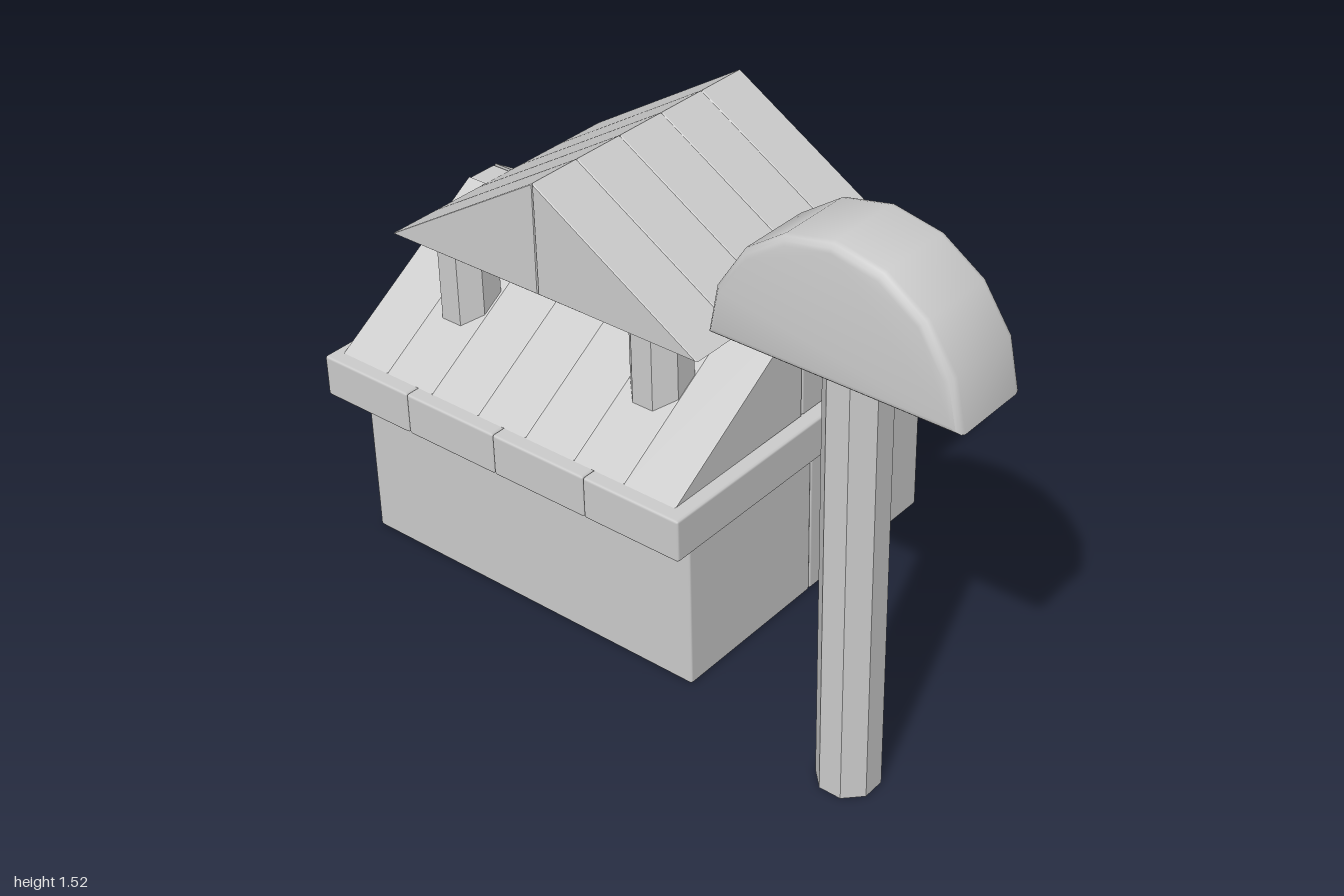
import * as THREE from 'three';
import { toCreasedNormals } from 'three/addons/utils/BufferGeometryUtils.js';
import { RoundedBoxGeometry } from 'three/addons/geometries/RoundedBoxGeometry.js';

const grey = new THREE.MeshStandardMaterial({ color: 0xcccccc });

function add(parent, name, geometry, x, y, z, turn = 0) {
  const mesh = new THREE.Mesh(geometry, grey);
  mesh.name = name;
  mesh.position.set(x, y, z);
  mesh.rotation.y = turn;
  parent.add(mesh);
  return mesh;
}

// Box given by its limits on each axis, with slightly softened edges
function block(parent, name, [x0, x1], [y0, y1], [z0, z1]) {
  const geometry = new RoundedBoxGeometry(x1 - x0, y1 - y0, z1 - z0, 1, 0.007);
  return add(parent, name, geometry, (x0 + x1) / 2, (y0 + y1) / 2, (z0 + z1) / 2);
}

// Extruded outline, centred on z, whose bevel stays inside the outline
function bevelled(points, depth, bevel, segments, crease) {
  const shape = new THREE.Shape(points.map(([x, y]) => new THREE.Vector2(x, y)));
  const geometry = new THREE.ExtrudeGeometry(shape, {
    depth: depth - 2 * bevel, bevelThickness: bevel, bevelSize: bevel,
    bevelOffset: -bevel, bevelSegments: segments,
  });
  geometry.translate(0, 0, bevel - depth / 2);
  return toCreasedNormals(geometry, crease);
}

// Roof plank: a triangular prism falling from the ridge towards +x
const wedge = (run, height, width) =>
  bevelled([[0, 0], [run, 0], [0, height]], width, 0.003, 1, 0.3);

// Upright octagonal column with flat sides facing the axes
function column(parent, name, width, x, y0, y1, z) {
  const radius = width / 2 / Math.cos(Math.PI / 8);
  const geometry = new THREE.CylinderGeometry(radius, radius, y1 - y0, 8);
  geometry.rotateY(Math.PI / 8);
  return add(parent, name, toCreasedNormals(geometry, 0.5), x, (y0 + y1) / 2, z);
}

function group(parent, name) {
  const g = new THREE.Group();
  g.name = name;
  parent.add(g);
  return g;
}

export function createModel() {
  const model = new THREE.Group();
  model.name = 'houseAndTree';

  // House walls: two blocks side by side
  const walls = group(model, 'walls');
  block(walls, 'wallBlockBack', [-0.955, 0.155], [0, 0.46], [-0.515, -0.02]);
  block(walls, 'wallBlockFront', [-0.955, 0.155], [0, 0.46], [-0.02, 0.475]);

  // Overhanging floor of four boards
  const floor = group(model, 'floorBoards');
  for (let i = 0; i < 4; i++) {
    block(floor, 'floorBoard', [-1 + i * 0.3, -0.7 + i * 0.3], [0.46, 0.58], [-0.62, 0.57]);
  }

  // Lower roof: seven planks on each slope with a ridge beam between
  const lowerRoof = group(model, 'lowerRoof');
  const lowerWidth = 1.13 / 7;
  const lowerPlank = wedge(0.5, 0.315, lowerWidth);
  for (let i = 0; i < 7; i++) {
    const x = -0.97 + (i + 0.5) * lowerWidth;
    add(lowerRoof, 'lowerPlankFront', lowerPlank, x, 0.58, 0.03, -Math.PI / 2);
    add(lowerRoof, 'lowerPlankBack', lowerPlank, x, 0.58, -0.07, Math.PI / 2);
  }
  block(lowerRoof, 'ridgeBeam', [-0.97, 0.16], [0.58, 0.893], [-0.067, 0.028]);

  // Four pillars carry the upper roof
  const pillars = group(model, 'pillars');
  for (const x of [-0.73, -0.08]) {
    for (const z of [0.285, -0.32]) column(pillars, 'pillar', 0.155, x, 0.59, 0.9, z);
  }

  // Upper roof: five planks on each slope, ridge running front to back
  const upperRoof = group(model, 'upperRoof');
  const upperWidth = 0.81 / 5;
  const upperPlank = wedge(0.507, 0.312, upperWidth);
  for (let i = 0; i < 5; i++) {
    const z = -0.43 + (i + 0.5) * upperWidth;
    add(upperRoof, 'upperPlankLeft', upperPlank, -0.397, 0.897, z);
    add(upperRoof, 'upperPlankRight', upperPlank, -0.397, 0.897, z, Math.PI);
  }

  // Tree: three stacked trunk sections and a half-round crown
  const tree = group(model, 'tree');
  for (let i = 0; i < 3; i++) {
    column(tree, 'trunkSection', 0.15, 0.665, i * 0.396, (i + 1) * 0.396, 0.505);
  }
  const arc = [];
  for (let i = 0; i <= 8; i++) {
    const a = (i * Math.PI) / 8;
    arc.push([0.333 * Math.cos(a), 0.34 * Math.sin(a)]);
  }
  add(tree, 'crown', bevelled(arc, 0.235, 0.022, 3, 0.65), 0.667, 1.18, 0.5025);

  return model;
}
